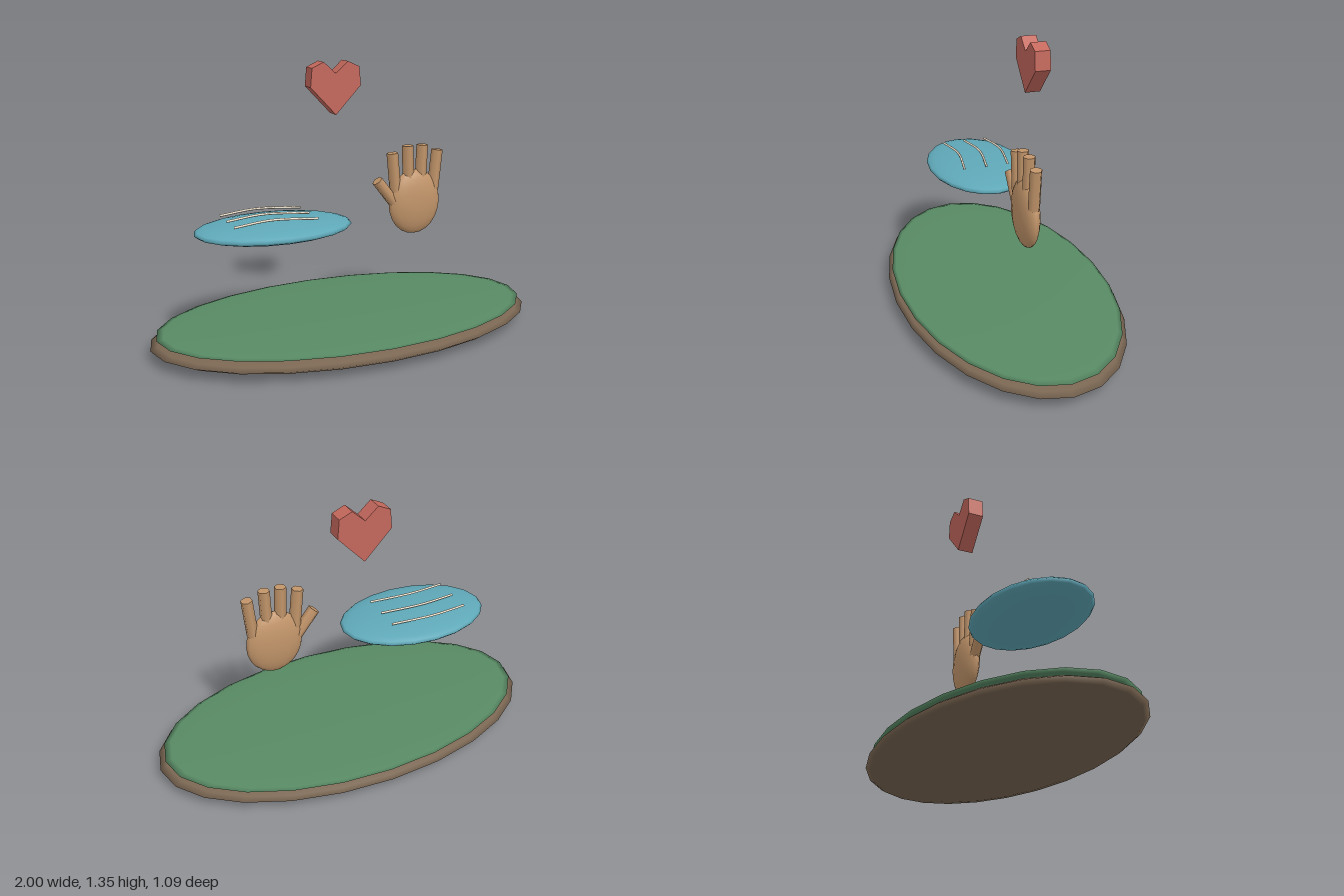
import * as THREE from 'three';

const mat = (color) => new THREE.MeshStandardMaterial({ color });

export function createModel() {
  const root = new THREE.Group();
  const soil = mat(0x7a6652), grass = mat(0x588a64), water = mat(0x5fa8b8);
  const cream = mat(0xe8dcc8), skin = mat(0xc2956a), red = mat(0xc4685c);

  const add = (parent, name, geometry, material) => {
    const mesh = new THREE.Mesh(geometry, material);
    mesh.name = name;
    parent.add(mesh);
    return mesh;
  };
  const ellipsoid = (parent, name, material, [x, y, z], [rx, ry, rz], sides, rings) => {
    const geometry = new THREE.SphereGeometry(1, sides, rings).scale(rx, ry, rz);
    add(parent, name, geometry, material).position.set(x, y, z);
  };

  // Island: flat soil disc with a thin grass cap
  ellipsoid(root, 'soilBase', soil, [0, 0.06, 0], [1, 0.06, 0.545], 24, 12);
  ellipsoid(root, 'grassTop', grass, [0, 0.105, 0], [0.97, 0.02, 0.525], 24, 12);

  // Pond with three arched ripples
  const pond = new THREE.Group();
  pond.name = 'pond';
  root.add(pond);
  ellipsoid(pond, 'water', water, [-0.38, 0.59, 0], [0.39, 0.045, 0.256], 20, 12);
  for (const z of [-0.115, 0, 0.118]) {
    const curve = new THREE.CatmullRomCurve3([
      new THREE.Vector3(-0.615, 0.644, z),
      new THREE.Vector3(-0.42, 0.653, z - 0.027),
      new THREE.Vector3(-0.2, 0.644, z),
    ]);
    add(pond, 'ripple', new THREE.TubeGeometry(curve, 12, 0.006, 6), cream);
  }

  // Open hand: oval palm, four fingers and a thumb
  const hand = new THREE.Group();
  hand.name = 'hand';
  root.add(hand);
  ellipsoid(hand, 'palm', skin, [0.375, 0.642, 0], [0.144, 0.167, 0.05], 16, 12);
  const digit = (name, x0, y0, x1, y1) => {
    const geometry = new THREE.CylinderGeometry(0.029, 0.029, Math.hypot(x1 - x0, y1 - y0), 6);
    const mesh = add(hand, name, geometry, skin);
    mesh.position.set((x0 + x1) / 2, (y0 + y1) / 2, 0);
    mesh.rotation.z = -Math.atan2(x1 - x0, y1 - y0);
  };
  for (const side of [-1, 1]) {
    digit('outerFinger', 0.375 + side * 0.107, 0.706, 0.375 + side * 0.127, 0.902);
    digit('innerFinger', 0.375 + side * 0.034, 0.73, 0.375 + side * 0.041, 0.933);
  }
  digit('thumb', 0.262, 0.645, 0.166, 0.768);

  // Faceted heart floating above
  const half = [[0.134, 1.231], [0.126, 1.324], [0.064, 1.352]];
  const outline = [[0, 1.09], ...half, [0, 1.294],
    ...half.map(([x, y]) => [-x, y]).reverse()];
  const shape = new THREE.Shape(outline.map(([x, y]) => new THREE.Vector2(x, y)));
  const heart = new THREE.ExtrudeGeometry(shape, { depth: 0.077, bevelEnabled: false });
  add(root, 'heart', heart, red).position.z = -0.206;

  return root;
}
